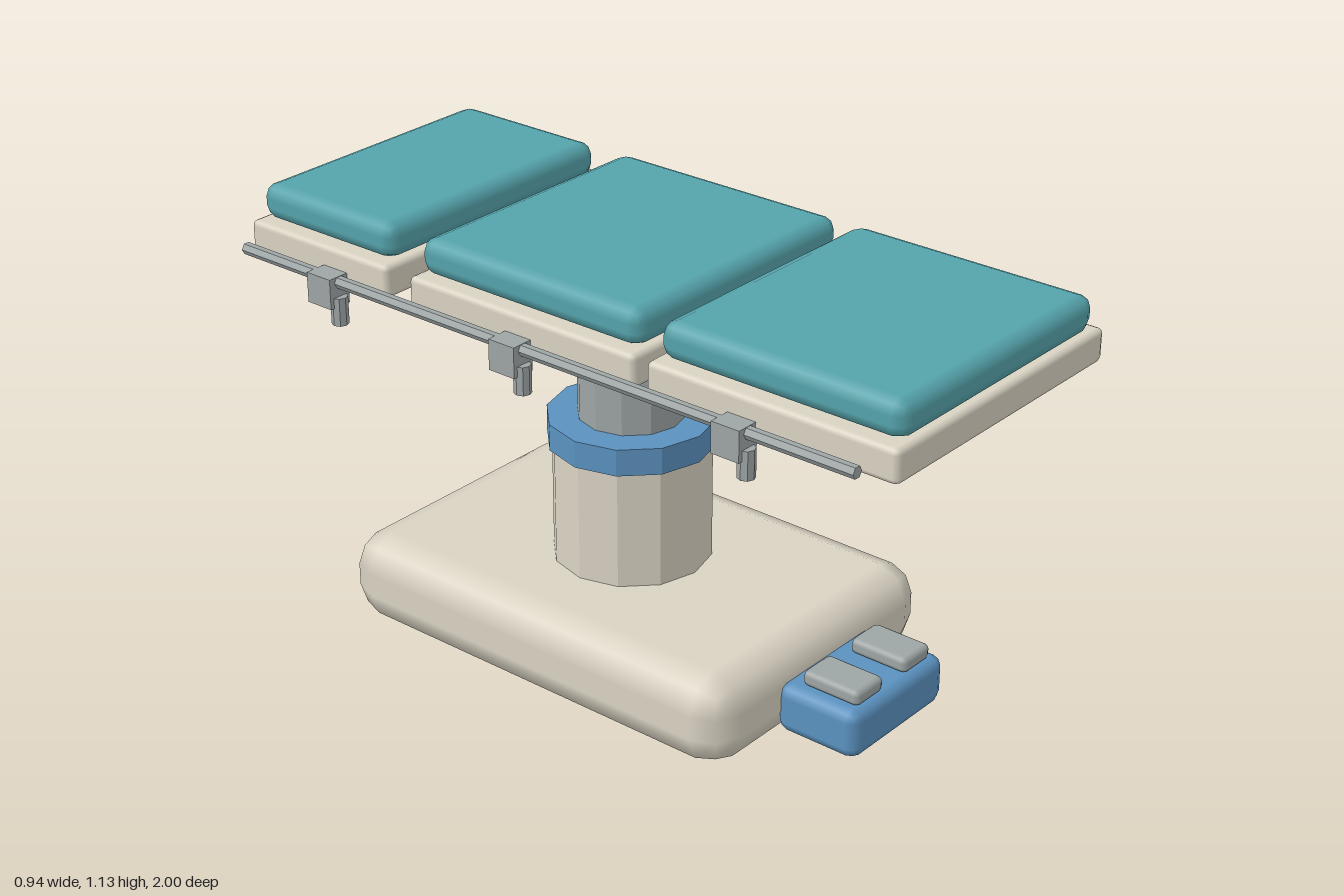
import * as THREE from 'three';
import { RoundedBoxGeometry } from 'three/addons/geometries/RoundedBoxGeometry.js';

const paint = (color, flatShading = false) => new THREE.MeshStandardMaterial({ color, flatShading });
const cream = paint(0xd9d3c3);
const creamFlat = paint(0xd9d3c3, true);
const teal = paint(0x55a3ab);
const blue = paint(0x5b92c0);
const blueFlat = paint(0x5b92c0, true);
const steel = paint(0x9ea5a5);
const steelFlat = paint(0x9ea5a5, true);

export function createModel() {
  const model = new THREE.Group();
  model.name = 'operatingTable';

  const add = (name, geometry, material, x, y, z) => {
    const mesh = new THREE.Mesh(geometry, material);
    mesh.name = name;
    mesh.position.set(x, y, z);
    model.add(mesh);
    return mesh;
  };

  // Bevelled block given by its ranges in y and z
  const block = (name, material, x, width, [y0, y1], [z0, z1], radius) =>
    add(name, new RoundedBoxGeometry(width, y1 - y0, z1 - z0, 1, radius),
      material, x, (y0 + y1) / 2, (z0 + z1) / 2);

  // Upright faceted cylinder
  const post = (name, material, radius, [y0, y1], x, z, sides = 12) =>
    add(name, new THREE.CylinderGeometry(radius, radius, y1 - y0, sides),
      material, x, (y0 + y1) / 2, z);

  // Base and telescopic column
  const columnZ = -0.09;
  block('base', cream, 0, 0.85, [0, 0.242], [-0.713, 0.533], 0.09);
  post('lowerColumn', creamFlat, 0.206, [0.2, 0.57], 0, columnZ);
  post('columnCollar', blueFlat, 0.218, [0.56, 0.632], 0, columnZ);
  post('upperColumn', steelFlat, 0.139, [0.6, 0.896], 0, columnZ);

  // Foot control with two pedals
  block('footControl', blue, 0, 0.375, [0.033, 0.164], [0.52, 0.758], 0.03);
  for (const side of [-1, 1]) {
    block('pedal', steel, side * 0.097, 0.108, [0.163, 0.204], [0.571, 0.737], 0.014);
  }

  // Three table sections, each a frame with a cushion
  const sections = [
    ['leg', [0.3, 1], [0.311, 0.99]],
    ['torso', [-0.447, 0.265], [-0.437, 0.256]],
    ['head', [-1, -0.522], [-0.99, -0.532]],
  ];
  for (const [part, frameZ, cushionZ] of sections) {
    block(part + 'Frame', cream, 0, 0.822, [0.952, 1.039], frameZ, 0.015);
    block(part + 'Cushion', teal, 0, 0.764, [1.036, 1.132], cushionZ, 0.036);
  }

  // Side rails with clamps and their knobs
  for (const side of [-1, 1]) {
    const x = side * 0.438;
    const rail = add('sideRail', new THREE.CylinderGeometry(0.016, 0.016, 1.908, 6),
      steelFlat, x, 0.972, -0.039);
    rail.rotation.set(Math.PI / 2, Math.PI / 2, 0, 'XYZ');
    for (const z of [0.578, -0.09, -0.7]) {
      add('railClamp', new THREE.BoxGeometry(0.064, 0.08, 0.08), steelFlat, x, 0.947, z);
      post('clampKnob', steelFlat, 0.022, [0.86, 0.934], x, z + 0.037, 8);
    }
  }

  return model;
}
